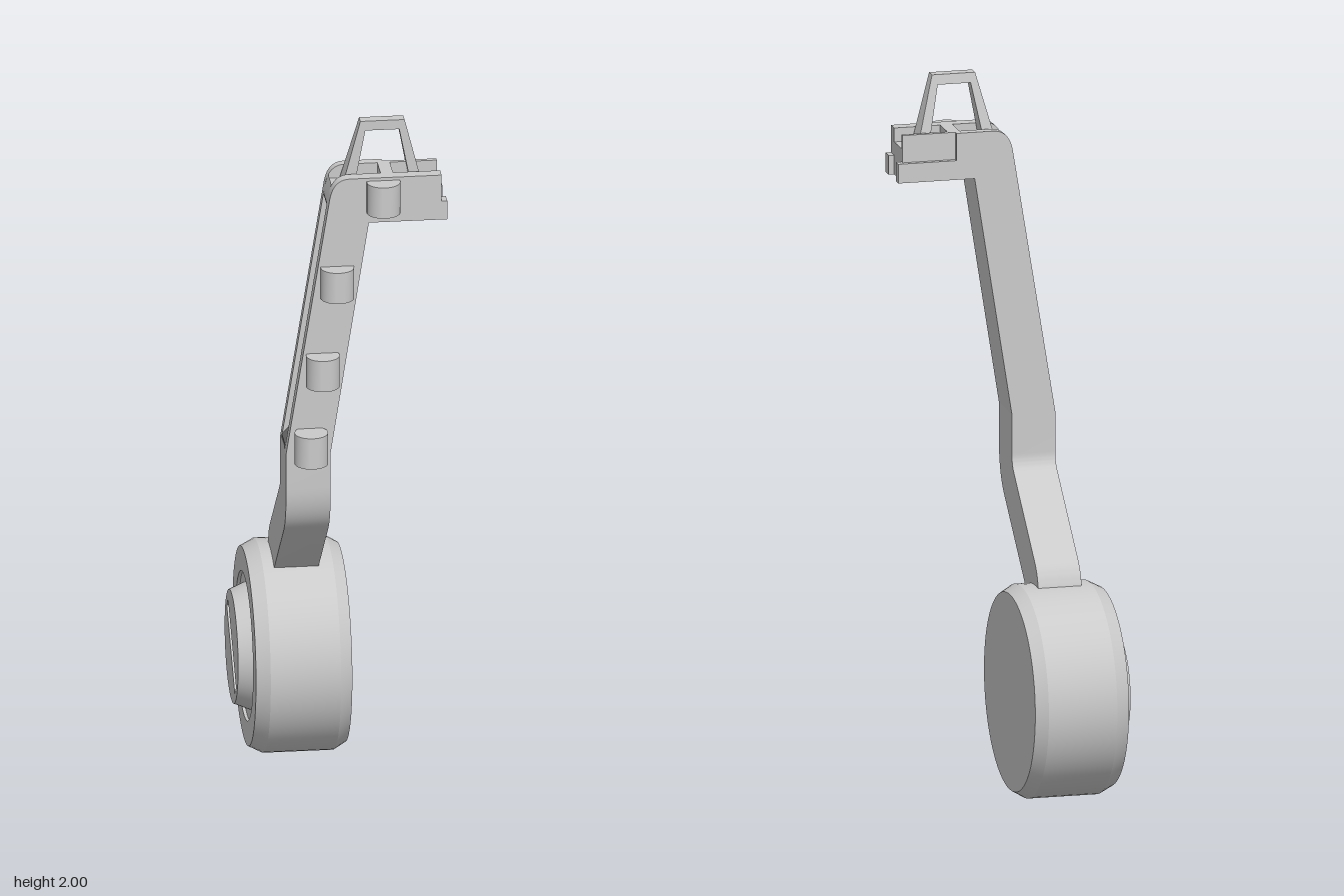
import * as THREE from 'three';
import { toCreasedNormals } from 'three/addons/utils/BufferGeometryUtils.js';

function material(name, color) {
  const m = new THREE.MeshStandardMaterial({ color });
  m.name = name;
  return m;
}
const lightGrey = material('lightGrey', 0xcacaca);
const darkGrey = material('darkGrey', 0x6c6c6c);

// Outline from points; four numbers mean a curve (control point, end point)
function outline(points) {
  const shape = new THREE.Shape();
  points.forEach((p, i) => {
    if (i === 0) shape.moveTo(...p);
    else if (p.length === 4) shape.quadraticCurveTo(...p);
    else shape.lineTo(...p);
  });
  return shape;
}

function extrude(shape, depth) {
  return new THREE.ExtrudeGeometry(shape, { depth, bevelEnabled: false, curveSegments: 10 });
}

function add(group, name, geometry, x = 0, y = 0, z = 0, mat = lightGrey) {
  const mesh = new THREE.Mesh(toCreasedNormals(geometry, 0.4), mat);
  mesh.name = name;
  mesh.position.set(x, y, z);
  group.add(mesh);
  return mesh;
}

// Slab with a front-view outline between two depths
function slab(group, name, points, z0, z1, mat) {
  return add(group, name, extrude(outline(points), z1 - z0), 0, 0, z0, mat);
}

// Turned part along the x axis, profile given as [radius, x]
function turned(profile) {
  const g = new THREE.LatheGeometry(profile.map(p => new THREE.Vector2(...p)), 64);
  return g.rotateZ(-Math.PI / 2);
}

function buildDrum() {
  const drum = new THREE.Group();
  drum.name = 'drum';
  drum.position.set(0, 0.3, -0.09);
  // Chamfered body with a shallow recess around the hub
  add(drum, 'drumBody', turned([
    [0, -0.235], [0.21, -0.235], [0.21, -0.244], [0.28, -0.244],
    [0.3, -0.205], [0.3, -0.008], [0.28, 0.026], [0, 0.026],
  ]));
  // Tapered hub with a diagonal slot in its face
  add(drum, 'hubSide', turned([[0.16, -0.28], [0.179, -0.235]]));
  const face = new THREE.Shape();
  face.absarc(0, 0, 0.16, 0, Math.PI * 2);
  const l = 0.095, w = 0.015;
  face.holes.push(new THREE.Path([
    [-l - w, l - w], [l - w, -l - w], [l + w, -l + w], [-l + w, l + w],
  ].map(p => new THREE.Vector2(...p))));
  const cap = new THREE.ExtrudeGeometry(face, { depth: 0.02, bevelEnabled: false, curveSegments: 64 });
  add(drum, 'hubFace', cap.rotateY(-Math.PI / 2), -0.26);
  const floor = add(drum, 'slotFloor', new THREE.BoxGeometry(0.005, 0.05, 0.3), -0.2575);
  floor.rotation.x = Math.PI / 4;
  return drum;
}

function buildPost() {
  const post = new THREE.Group();
  post.name = 'post';

  // Lower arm, bending back into the drum
  const arm = extrude(outline([
    [0.311, 1.03], [0.311, 0.925], [0.311, 0.83, 0.255, 0.78], [-0.02, 0.535],
    [-0.124, 0.535], [-0.119, 0.595], [-0.108, 0.638, -0.082, 0.662], [0.15, 0.868],
    [0.17, 0.886, 0.17, 0.916], [0.17, 1.03],
  ]), 0.125);
  add(post, 'lowerArm', arm.rotateY(-Math.PI / 2), -0.049);

  // Leaning post and head: two side walls around a thinner core
  const start = [[-0.174, 1.03], [-0.049, 1.03], [0.058, 1.712], [0.278, 1.712], [0.278, 1.767]];
  const corner = [[0.005, 1.845], [-0.042, 1.845, -0.052, 1.785]];
  const wall = [...start, [0.262, 1.767], [0.262, 1.845], ...corner];
  slab(post, 'frontWall', wall, 0.275, 0.311);
  slab(post, 'backWall', wall, 0.184, 0.197);
  slab(post, 'backWallStep', [...start, [0.11, 1.767], [0.11, 1.845], ...corner], 0.17, 0.184);
  slab(post, 'core', [
    [-0.174, 1.03], [-0.049, 1.03], [0.058, 1.712], [0.262, 1.712], [0.262, 1.805],
    [0.13, 1.805], [0.13, 1.845], [0.095, 1.845], [0.095, 1.805], [-0.042, 1.805],
    [-0.043, 1.818], [-0.052, 1.785], [-0.055, 1.765], [-0.032, 1.76], [-0.146, 1.06], [-0.174, 1.035],
  ], 0.197, 0.275);

  // Dark strip lining the channel on the outer side of the leaning post
  slab(post, 'channelStrip', [
    [-0.174, 1.035], [-0.146, 1.06], [-0.032, 1.76], [-0.055, 1.765],
    [-0.056, 1.758], [-0.04, 1.754], [-0.154, 1.065], [-0.173, 1.045],
  ], 0.197, 0.275, darkGrey);
  return post;
}

export function createModel() {
  const model = new THREE.Group();
  model.name = 'wheelPost';
  model.add(buildDrum(), buildPost());

  // Loop handle, its back face sloping forward toward the top
  const loop = extrude(outline([
    [-0.013, 1.804], [0.039, 2], [0.163, 2], [0.213, 1.804],
    [0.181, 1.804], [0.148, 1.972], [0.053, 1.972], [0.021, 1.804],
  ]), 0.067);
  const pos = loop.attributes.position;
  for (let i = 0; i < pos.count; i++) {
    if (pos.getZ(i) < 0.01) pos.setZ(i, 0.035 * (pos.getY(i) - 1.804) / 0.196);
  }
  add(model, 'loopHandle', loop, 0, 0, 0.203);

  // Round pegs up the front
  [[-0.107, 1.057, 0.343], [-0.073, 1.281, 0.327], [-0.031, 1.539, 0.317], [0.098, 1.79, 0.32]]
    .forEach(p => add(model, 'peg', new THREE.CylinderGeometry(0.047, 0.047, 0.092, 32), ...p));
  return model;
}
